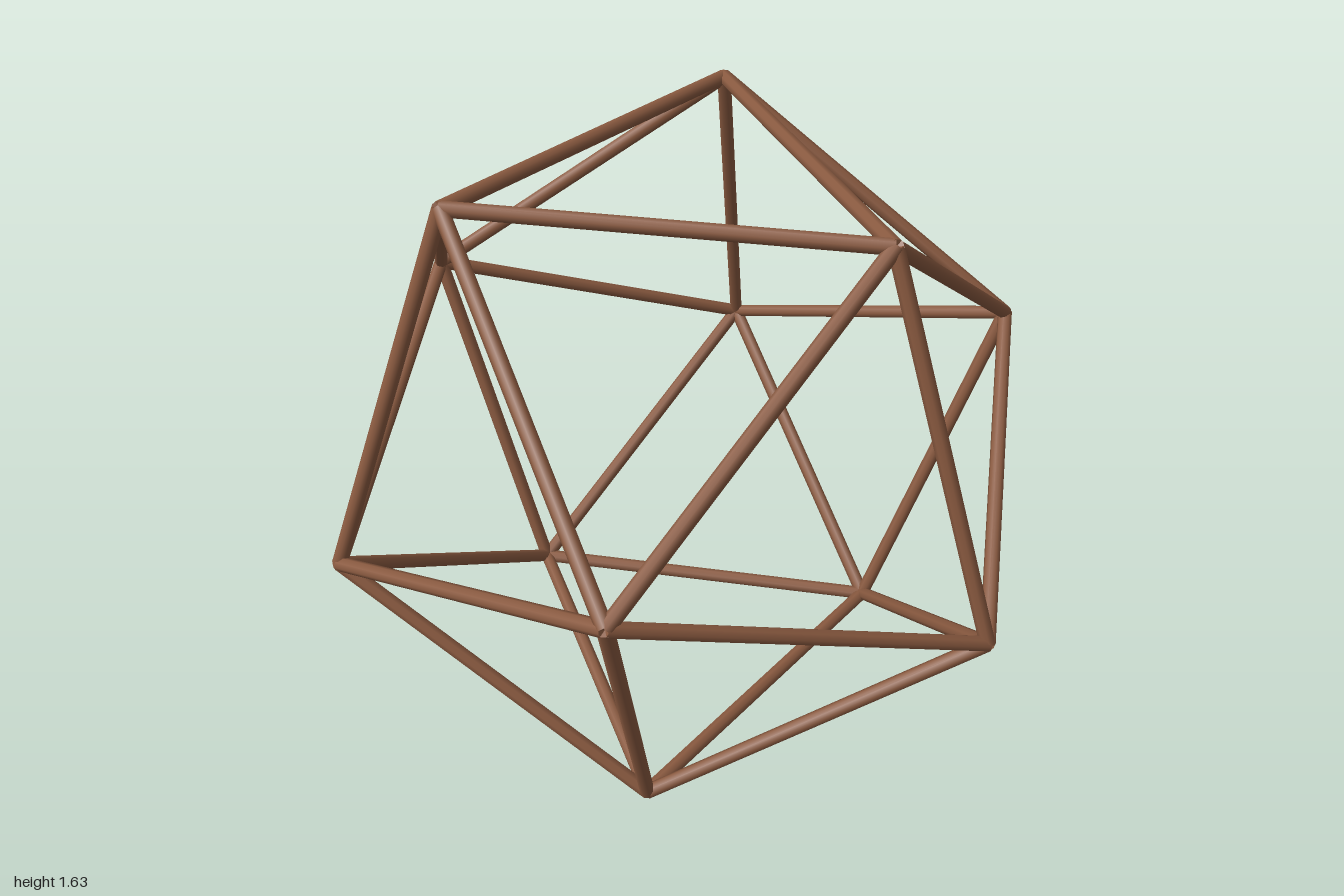
import * as THREE from 'three';

export function createModel() {
  const model = new THREE.Group();
  model.name = 'icosahedronFrame';
  const wood = new THREE.MeshStandardMaterial({ color: 0x8a5a40 });

  const edge = 1.05, radius = 0.02, midY = 0.813;
  const phi = (1 + Math.sqrt(5)) / 2;
  const inner = edge / Math.sqrt(3), outer = inner * phi;
  const high = 0.7558 * edge, low = high / phi ** 3;

  // Four triangular rings of corners, standing on a face
  const corners = [];
  for (const [r, y, turn] of [[inner, high, 0], [outer, low, Math.PI], [outer, -low, 0], [inner, -high, Math.PI]]) {
    for (let i = 0; i < 3; i++) {
      const a = turn + (i * 2 * Math.PI) / 3;
      corners.push(new THREE.Vector3(r * Math.sin(a), midY + y, r * Math.cos(a)));
    }
  }

  // One round strut between every pair of neighbouring corners
  const strutGeometry = new THREE.CylinderGeometry(radius, radius, edge, 8);
  const up = new THREE.Vector3(0, 1, 0);
  corners.forEach((a, i) => corners.slice(i + 1).forEach((b) => {
    if (a.distanceTo(b) > edge * 1.1) return;
    const strut = new THREE.Mesh(strutGeometry, wood);
    strut.name = 'strut';
    strut.position.addVectors(a, b).multiplyScalar(0.5);
    strut.quaternion.setFromUnitVectors(up, b.clone().sub(a).normalize());
    model.add(strut);
  }));
  return model;
}
